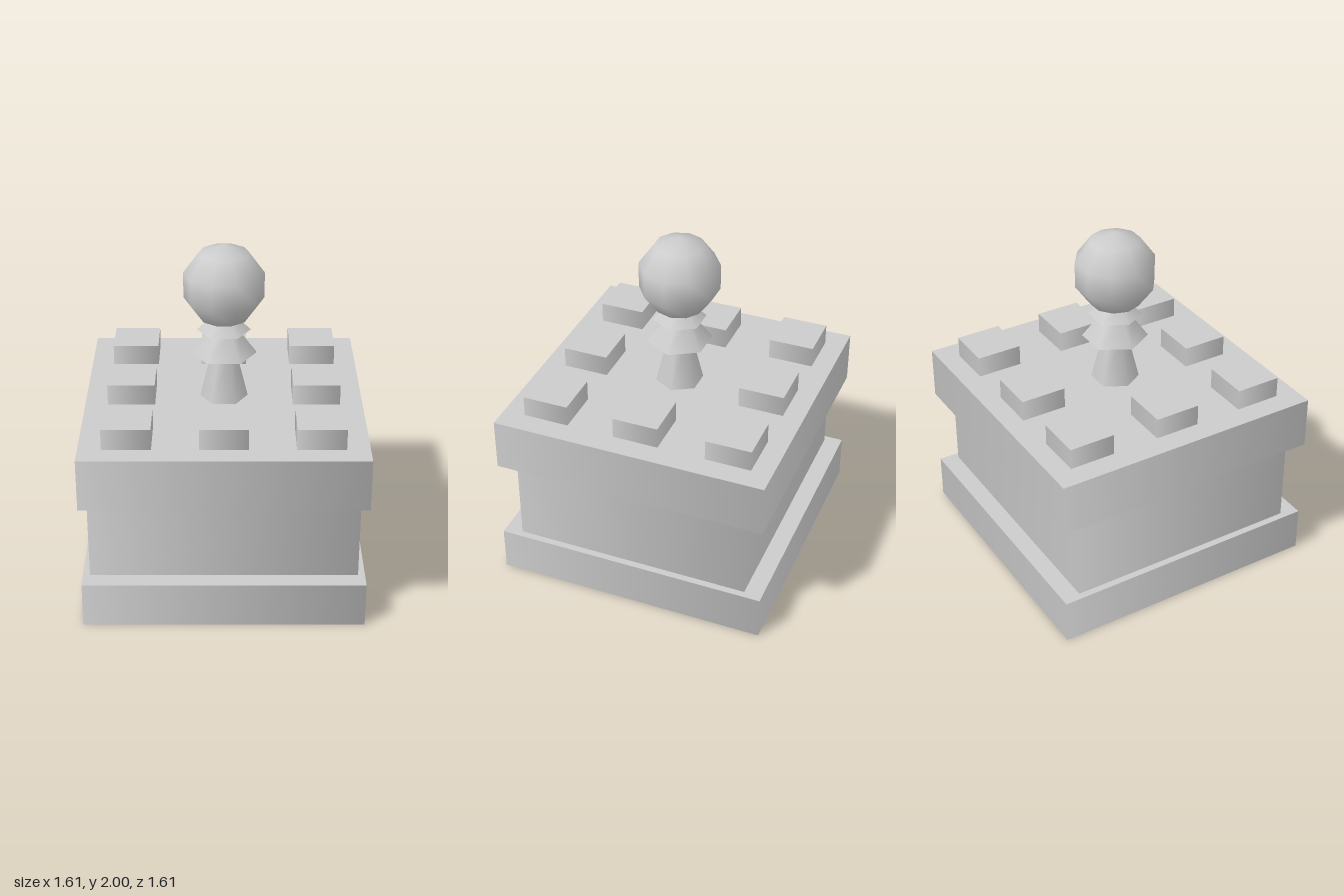
import * as THREE from 'three';

const material = new THREE.MeshStandardMaterial({ color: 0xcccccc });

function addMesh(parent, name, geometry, x = 0, y = 0, z = 0) {
  const mesh = new THREE.Mesh(geometry, material);
  mesh.name = name;
  mesh.position.set(x, y, z);
  parent.add(mesh);
  return mesh;
}

// Four-sided prism with softly shaded walls, standing on its base
function block(width, height, depth) {
  return new THREE.CylinderGeometry(Math.SQRT1_2, Math.SQRT1_2, 1, 4)
    .rotateY(Math.PI / 4)
    .scale(width, height, depth)
    .translate(0, height / 2, 0);
}

// Six-sided tapered section with corners on the x axis
function hexTaper(bottomRadius, topRadius, height) {
  return new THREE.CylinderGeometry(topRadius, bottomRadius, height, 6)
    .rotateY(Math.PI / 6)
    .translate(0, height / 2, 0);
}

export function createModel() {
  const group = new THREE.Group();
  group.name = 'pedestalWithFinial';

  // Stacked square pedestal
  addMesh(group, 'basePlinth', block(1.605, 0.265, 1.605));
  addMesh(group, 'body', block(1.525, 0.495, 1.395), 0, 0.263, 0);
  addMesh(group, 'capSlab', block(1.605, 0.307, 1.605), 0, 0.757, 0);

  // Ring of eight raised pads, leaving the centre free
  const pads = new THREE.Group();
  pads.name = 'raisedPads';
  const padGeometry = block(0.273, 0.125, 0.267);
  for (const i of [-1, 0, 1]) {
    for (const j of [-1, 0, 1]) {
      if (i === 0 && j === 0) continue;
      addMesh(pads, 'pad', padGeometry, i * 0.535, 1.062, j * 0.545 - 0.004);
    }
  }
  group.add(pads);

  // Finial: stem, two flared collars and a ball
  const finial = new THREE.Group();
  finial.name = 'finial';
  addMesh(finial, 'stem', hexTaper(0.14, 0.07, 0.29), 0, 1.06, 0);
  addMesh(finial, 'lowerCollar', hexTaper(0.19, 0.08, 0.145), 0, 1.34, 0);
  addMesh(finial, 'upperCollar', hexTaper(0.155, 0.08, 0.07), 0, 1.483, 0);
  addMesh(finial, 'ball', new THREE.SphereGeometry(0.242, 10, 5), 0, 1.758, 0);
  group.add(finial);

  return group;
}
